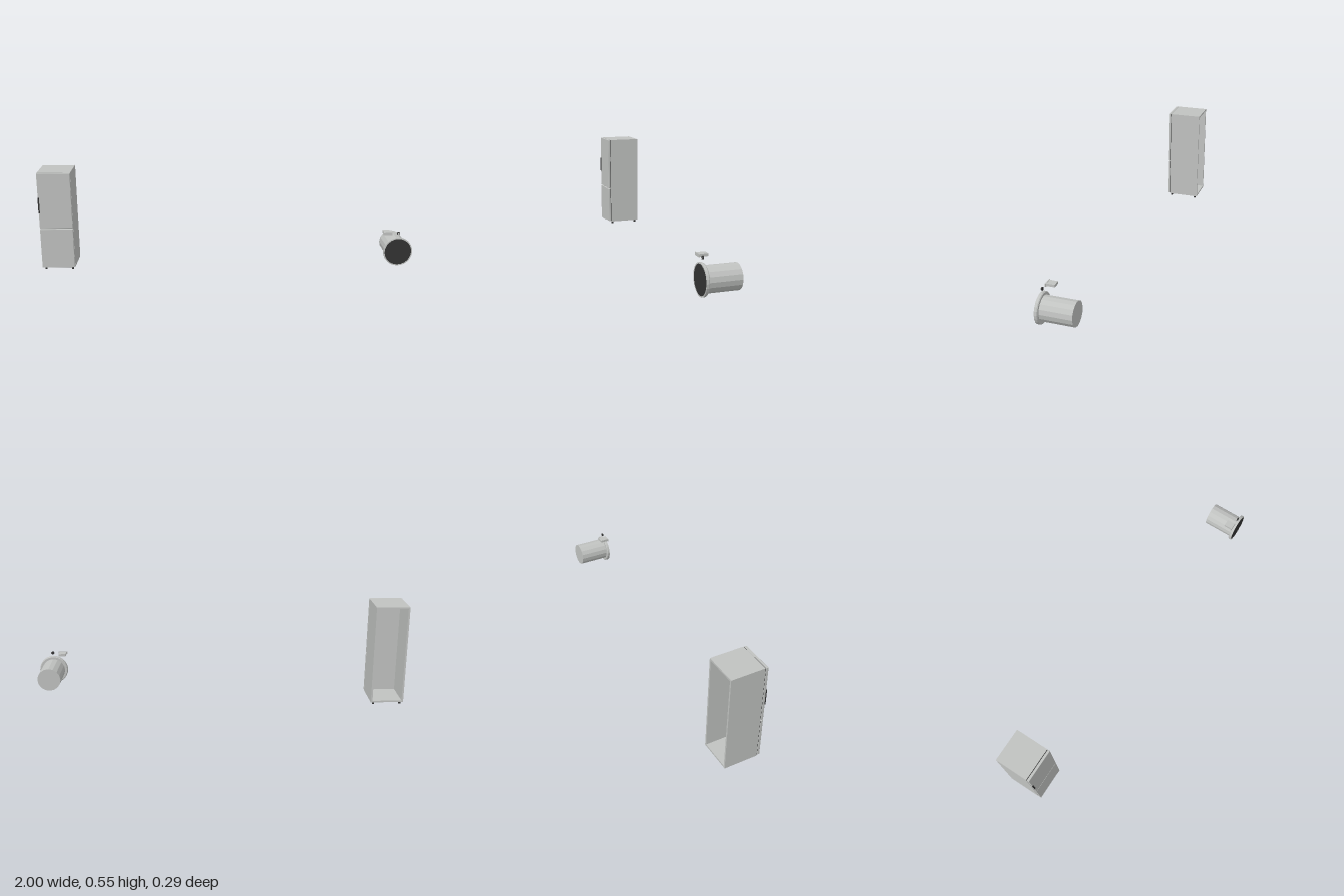
import * as THREE from 'three';
import { RoundedBoxGeometry } from 'three/addons/geometries/RoundedBoxGeometry.js';

const steel = new THREE.MeshStandardMaterial({ color: 0xc0c2c0 });
steel.name = 'light grey steel';
const dark = new THREE.MeshStandardMaterial({ color: 0x333333 });
dark.name = 'dark plastic';

function add(parent, name, geometry, material, x, y, z) {
  const mesh = new THREE.Mesh(geometry, material);
  mesh.name = name;
  mesh.position.set(x, y, z);
  parent.add(mesh);
  return mesh;
}

const box = (w, h, d) => new THREE.BoxGeometry(w, h, d);

function rectangle(Type, w, h) {
  const s = new Type();
  s.moveTo(-w / 2, -h / 2);
  s.lineTo(w / 2, -h / 2);
  s.lineTo(w / 2, h / 2);
  s.lineTo(-w / 2, h / 2);
  s.closePath();
  return s;
}

function createRefrigerator() {
  const g = new THREE.Group();
  g.name = 'refrigerator';
  const cx = -0.912, w = 0.176, bottom = 0.015, top = 0.547, h = top - bottom;
  const cy = (top + bottom) / 2;

  // Hollow cabinet, open at the rear
  const frame = rectangle(THREE.Shape, w, h);
  frame.holes.push(rectangle(THREE.Path, w - 0.018, h - 0.018));
  const shell = new THREE.ExtrudeGeometry(frame, { depth: 0.17, bevelEnabled: false });
  add(g, 'cabinetShell', shell, steel, cx, cy, -0.143);
  add(g, 'cabinetFront', box(w, h, 0.008), steel, cx, cy, 0.031);

  // Two doors with dark seals behind them
  for (const [name, y0, y1] of [['upperDoor', 0.239, 0.547], ['lowerDoor', 0.018, 0.234]]) {
    const y = (y0 + y1) / 2;
    add(g, name, new RoundedBoxGeometry(w, y1 - y0, 0.013, 2, 0.002), steel, cx, y, 0.0445);
    add(g, name + 'Seal', box(w - 0.004, y1 - y0 - 0.004, 0.004), dark, cx, y, 0.0365);
  }

  // Grip on the door edge
  add(g, 'doorHandle', box(0.007, 0.085, 0.012), dark, -0.9965, 0.3725, 0.049);

  // Levelling feet
  for (const x of [cx - 0.072, cx + 0.072]) {
    for (const z of [0.025, -0.127]) {
      add(g, 'footPad', new THREE.CylinderGeometry(0.006, 0.006, 0.01, 12), dark, x, 0.006, z);
      add(g, 'footBase', new THREE.CylinderGeometry(0.004, 0.003, 0.002, 12), dark, x, 0.001, z);
      add(g, 'footStem', new THREE.CylinderGeometry(0.003, 0.003, 0.006, 8), dark, x, 0.013, z);
    }
  }
  return g;
}

function createWasherParts() {
  const g = new THREE.Group();
  g.name = 'washerParts';
  const cx = 0.9225, cy = 0.1225;

  // Faceted drum lying along z
  const drum = new THREE.CylinderGeometry(0.0625, 0.0625, 0.165, 16).toNonIndexed();
  drum.computeVertexNormals();
  add(g, 'drum', drum, steel, cx, cy, 0.0475).rotation.x = Math.PI / 2;

  // Door ring with a bevelled rear edge
  const profile = [[0.062, 0.128], [0.074, 0.128], [0.0775, 0.132], [0.0775, 0.1445], [0.0715, 0.1445], [0.0715, 0.139]];
  const ring = new THREE.LatheGeometry(profile.map(([r, z]) => new THREE.Vector2(r, z)), 24).toNonIndexed();
  ring.computeVertexNormals();
  add(g, 'doorRing', ring, steel, cx, cy, 0).rotation.x = Math.PI / 2;

  // Dark door glass
  add(g, 'doorGlass', new THREE.CylinderGeometry(0.0715, 0.0715, 0.009, 24), dark, cx, cy, 0.1395)
    .rotation.x = Math.PI / 2;

  // Detergent drawer with its front lip
  add(g, 'drawerTray', box(0.038, 0.013, 0.043), steel, 0.865, 0.2215, 0.1105);
  add(g, 'drawerFront', box(0.049, 0.015, 0.005), steel, 0.8655, 0.2215, 0.1335);

  // Programme knob
  add(g, 'knob', new THREE.CylinderGeometry(0.0075, 0.009, 0.007, 16), dark, cx, 0.222, 0.1335)
    .rotation.x = Math.PI / 2;
  add(g, 'knobFace', new THREE.CylinderGeometry(0.005, 0.005, 0.001, 16), steel, cx, 0.222, 0.1373)
    .rotation.x = Math.PI / 2;
  return g;
}

export function createModel() {
  const model = new THREE.Group();
  model.name = 'kitchenAppliances';
  model.add(createRefrigerator(), createWasherParts());
  return model;
}
